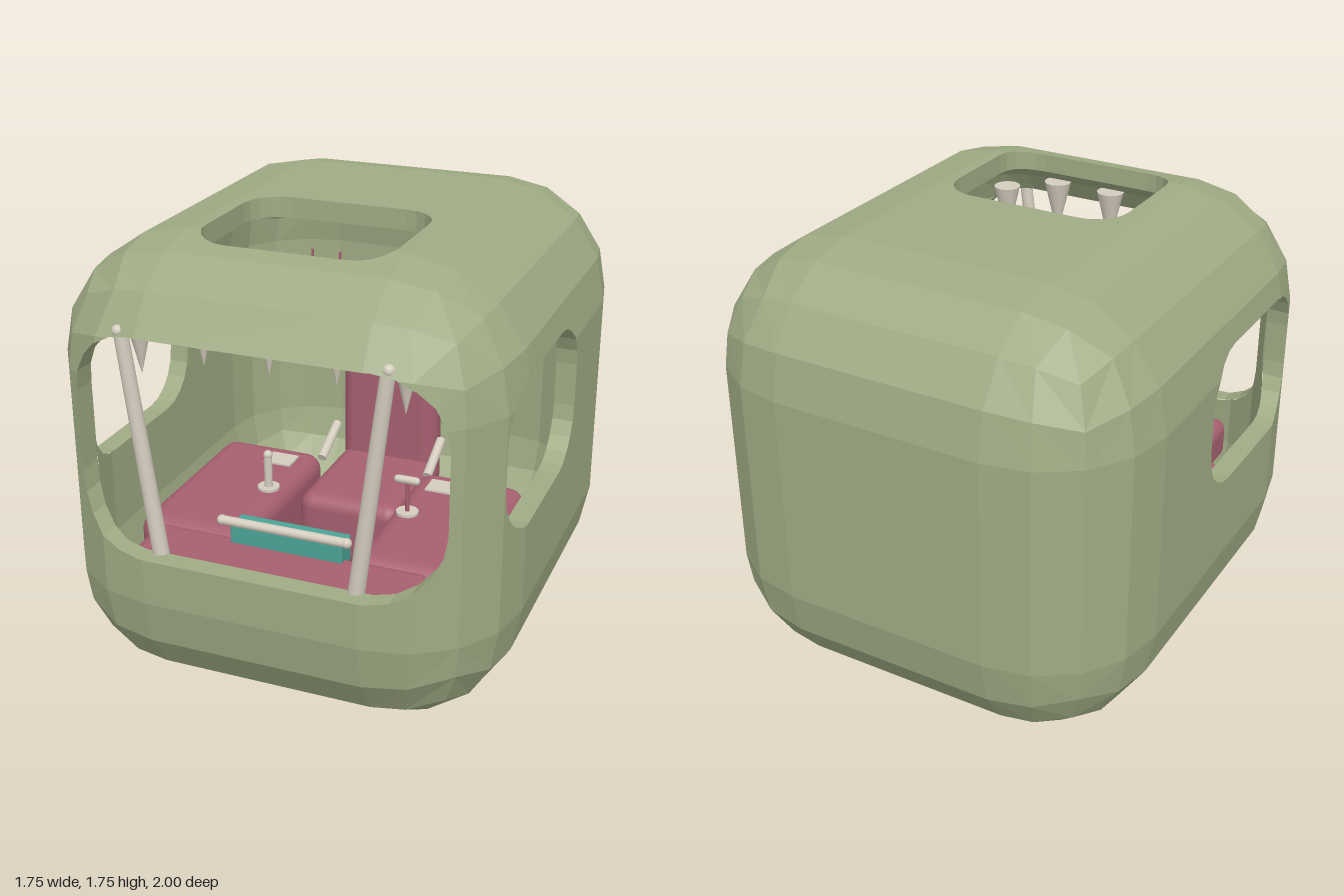
import * as THREE from 'three';
import { RoundedBoxGeometry } from 'three/addons/geometries/RoundedBoxGeometry.js';

const material = (name, color, side = THREE.FrontSide) => {
  const m = new THREE.MeshStandardMaterial({ color, side });
  m.name = name;
  return m;
};

const CORE = [0.415, 0.415, 0.54]; // half-size of the box the rounding grows from
const MID_Y = 0.875, R_OUT = 0.46, R_IN = 0.38;

// Outline of a rounded rectangle, counter-clockwise
function outline(u0, u1, v0, v1, r, n = 5) {
  const pts = [];
  [[u1 - r, v1 - r], [u0 + r, v1 - r], [u0 + r, v0 + r], [u1 - r, v0 + r]].forEach(([u, v], k) => {
    for (let i = 0; i <= n; i++) {
      const a = (k + i / n) * Math.PI / 2;
      pts.push([u + r * Math.cos(a), v + r * Math.sin(a)]);
    }
  });
  return pts;
}

// Openings: axis they are cut along, the two outline axes, which sides are cut (y is measured from the middle)
const OPENINGS = [
  { axis: 2, u: 0, v: 1, signs: [1], pts: outline(-0.7, 0.7, 0.64 - MID_Y, 1.475 - MID_Y, 0.26) },
  { axis: 0, u: 2, v: 1, signs: [1, -1], pts: outline(-0.12, 0.71, 0.8 - MID_Y, 1.37 - MID_Y, 0.2) },
  { axis: 1, u: 0, v: 2, signs: [1], pts: outline(-0.37, 0.37, 0.03, 0.63, 0.14) },
];

// Triangles of a faceted rounded box, as a cube grid with 4 steps around each edge
function roundedTriangles(r) {
  const tris = [];
  const steps = [[-1, 45], [-1, 22.5], [-1, 0], [1, 0], [1, 22.5], [1, 45]];
  for (let axis = 0; axis < 3; axis++) for (const s of [1, -1]) {
    const u = (axis + 1) % 3, v = (axis + 2) % 3;
    const point = (i, j) => {
      const d = [0, 0, 0], sign = [0, 0, 0];
      sign[axis] = s; sign[u] = steps[i][0]; sign[v] = steps[j][0];
      d[axis] = s;
      d[u] = sign[u] * Math.tan(THREE.MathUtils.degToRad(steps[i][1]));
      d[v] = sign[v] * Math.tan(THREE.MathUtils.degToRad(steps[j][1]));
      const l = Math.hypot(...d);
      return d.map((c, k) => sign[k] * CORE[k] + r * c / l);
    };
    for (let i = 0; i < 5; i++) for (let j = 0; j < 5; j++) {
      const [a, b, c, d] = [point(i, j), point(i + 1, j), point(i + 1, j + 1), point(i, j + 1)];
      for (const t of [[a, b, c], [a, c, d]]) tris.push(s > 0 ? t : t.reverse());
    }
  }
  return tris;
}

// Keep the part of a polygon where side(p) >= 0
function clip(poly, side) {
  const out = [];
  poly.forEach((p, i) => {
    const q = poly[(i + 1) % poly.length], a = side(p), b = side(q);
    if (a >= 0) out.push(p);
    if ((a > 0 && b < 0) || (a < 0 && b > 0)) out.push(p.map((c, k) => c + (q[k] - c) * a / (a - b)));
  });
  return out;
}

// Cut one opening out of a polygon; returns the pieces left and the piece removed
function cut(poly, o) {
  if (!o.signs.some((s) => poly.reduce((sum, p) => sum + p[o.axis] * s, 0) / poly.length > 0.3)) return [[poly], []];
  const kept = [];
  let rest = poly;
  for (let i = 0; i < o.pts.length && rest.length > 2; i++) {
    const [a, b] = [o.pts[i], o.pts[(i + 1) % o.pts.length]];
    if (Math.hypot(b[0] - a[0], b[1] - a[1]) < 1e-6) continue;
    const side = (p) => (b[0] - a[0]) * (p[o.v] - a[1]) - (b[1] - a[1]) * (p[o.u] - a[0]);
    const outside = clip(rest, (p) => -side(p));
    if (outside.length > 2) kept.push(outside);
    rest = clip(rest, side);
  }
  return rest.length > 2 ? [kept, rest] : [[poly], []];
}

// Point on the inner skin straight behind a point of the outer skin
function innerPoint(p, o) {
  const q = (k) => Math.max(Math.abs(p[k]) - CORE[k], 0);
  const out = [...p];
  out[o.axis] = Math.sign(p[o.axis]) * (CORE[o.axis] + Math.sqrt(Math.max(R_IN ** 2 - q(o.u) ** 2 - q(o.v) ** 2, 0)));
  return out;
}

function shellGeometries() {
  const skin = [], rim = [];
  const add = (list, poly) => {
    for (let i = 1; i < poly.length - 1; i++) list.push(...poly[0], ...poly[i], ...poly[i + 1]);
  };
  for (const r of [R_OUT, R_IN]) for (const tri of roundedTriangles(r)) {
    let pieces = [tri];
    for (const o of OPENINGS) {
      pieces = pieces.flatMap((piece) => {
        const [kept, removed] = cut(piece, o);
        // Wall thickness along the edge of the opening
        if (r === R_OUT) removed.forEach((p, i) => {
          const q = removed[(i + 1) % removed.length];
          const onEdge = o.pts.some((a, k) => {
            const b = o.pts[(k + 1) % o.pts.length], l = Math.hypot(b[0] - a[0], b[1] - a[1]);
            return l > 1e-6 && [p, q].every((c) =>
              Math.abs((b[0] - a[0]) * (c[o.v] - a[1]) - (b[1] - a[1]) * (c[o.u] - a[0])) / l < 1e-6);
          });
          if (onEdge) add(rim, [p, q, innerPoint(q, o), innerPoint(p, o)]);
        });
        return kept;
      });
    }
    pieces.forEach((p) => add(skin, r === R_OUT ? p : [...p].reverse()));
  }
  return [skin, rim].map((list) => {
    const g = new THREE.BufferGeometry();
    g.setAttribute('position', new THREE.Float32BufferAttribute(list, 3));
    g.computeVertexNormals();
    return g.translate(0, MID_Y, 0);
  });
}

export function createModel() {
  const model = new THREE.Group();
  model.name = 'cockpit';
  const green = material('shell green', 0x9fab84);
  const rimGreen = material('rim green', 0x9fab84, THREE.DoubleSide);
  const red = material('upholstery red', 0xa65f6f);
  const bone = material('bone', 0xd4ccbe);
  const teal = material('screen teal', 0x4ba396);
  const knob = material('knob green', 0x8a8f70);

  const add = (name, geometry, mat, x = 0, y = 0, z = 0) => {
    const m = new THREE.Mesh(geometry, mat);
    m.name = name;
    m.position.set(x, y, z);
    model.add(m);
    return m;
  };
  const box = (name, mat, [x0, x1], [y0, y1], [z0, z1], r) =>
    add(name, new RoundedBoxGeometry(x1 - x0, y1 - y0, z1 - z0, 4, r), mat, (x0 + x1) / 2, (y0 + y1) / 2, (z0 + z1) / 2);
  const ball = (name, mat, r, x, y, z) => add(name, new THREE.SphereGeometry(r, 14, 10), mat, x, y, z);
  // Round rod between two points, tapering from r0 to r1
  const rod = (name, mat, a, b, r0, r1 = r0) => {
    const from = new THREE.Vector3(...a), to = new THREE.Vector3(...b), dir = to.clone().sub(from);
    const m = add(name, new THREE.CylinderGeometry(r1, r0, dir.length(), 14), mat);
    m.position.copy(from).add(to).multiplyScalar(0.5);
    m.quaternion.setFromUnitVectors(new THREE.Vector3(0, 1, 0), dir.normalize());
  };

  // Hollow shell
  const [skin, rim] = shellGeometries();
  add('shell', skin, green);
  add('openingRims', rim, rimGreen);

  // Seat
  box('seatCushion', red, [-0.22, 0.22], [0.2, 0.5], [-0.5, 0.06], 0.06);
  box('seatBack', red, [-0.215, 0.215], [0.3, 1.03], [-0.56, -0.42], 0.065);
  add('headrest', new THREE.CapsuleGeometry(0.035, 0.12, 6, 14), bone, 0, 1.005, -0.5);

  // Front dashboard with screen and grab bar
  box('dashboard', red, [-0.56, 0.56], [0.4, 0.585], [0.6, 0.88], 0.05);
  box('screen', teal, [-0.225, 0.225], [0.55, 0.658], [0.57, 0.67], 0.008);
  rod('grabBar', bone, [-0.25, 0.68, 0.68], [0.25, 0.68, 0.68], 0.018);

  for (const s of [-1, 1]) {
    ball('grabBarEnd', bone, 0.02, s * 0.25, 0.68, 0.68);
    // Side console with plate and lever base
    box('sideConsole', red, s < 0 ? [-0.68, -0.22] : [0.22, 0.68], [0.2, 0.56], [-0.25, 0.58], 0.07);
    add('consolePlate', new THREE.BoxGeometry(0.12, 0.008, 0.1), bone, s * 0.36, 0.564, -0.1);
    add('leverBase', new THREE.CylinderGeometry(0.045, 0.045, 0.012, 16), bone, s * 0.3, 0.565, 0.16);
    rod('seatBrace', bone, [s * 0.24, 0.52, -0.26], [s * 0.24, 0.61, -0.44], 0.02);
    // Slanted front pillar
    rod('frontPillar', bone, [s * 0.375, 0.59, 0.917], [s * 0.49, 1.48, 0.917], 0.031, 0.026);
    ball('pillarTip', bone, 0.022, s * 0.495, 1.483, 0.925);
    // Hanging bar cords and end knobs
    rod('hangingCord', red, [s * 0.055, 1.34, 0.25], [s * 0.055, 1.63, 0.25], 0.005);
    ball('hangingBarKnob', knob, 0.018, s * 0.09, 1.34, 0.25);
  }
  rod('hangingBar', bone, [-0.09, 1.34, 0.25], [0.09, 1.34, 0.25], 0.012);

  // Levers
  rod('leftHandLever', bone, [-0.3, 0.56, 0.16], [-0.3, 0.705, 0.16], 0.017);
  ball('leverKnob', bone, 0.019, -0.3, 0.71, 0.16);
  rod('handleStalk', red, [0.3, 0.56, 0.16], [0.3, 0.7, 0.16], 0.009);
  add('handleGrip', new THREE.CapsuleGeometry(0.016, 0.075, 5, 12), bone, 0.297, 0.705, 0.16).rotation.z = Math.PI / 2;

  // Fangs along the front of the ceiling
  for (const [x, tip] of [[-0.5, 1.265], [-0.25, 1.33], [0, 1.33], [0.25, 1.33], [0.5, 1.265]]) {
    add('fang', new THREE.ConeGeometry(0.057, 0.24, 14), bone, x, tip + 0.12, 0.77).rotation.x = Math.PI;
  }
  return model;
}
